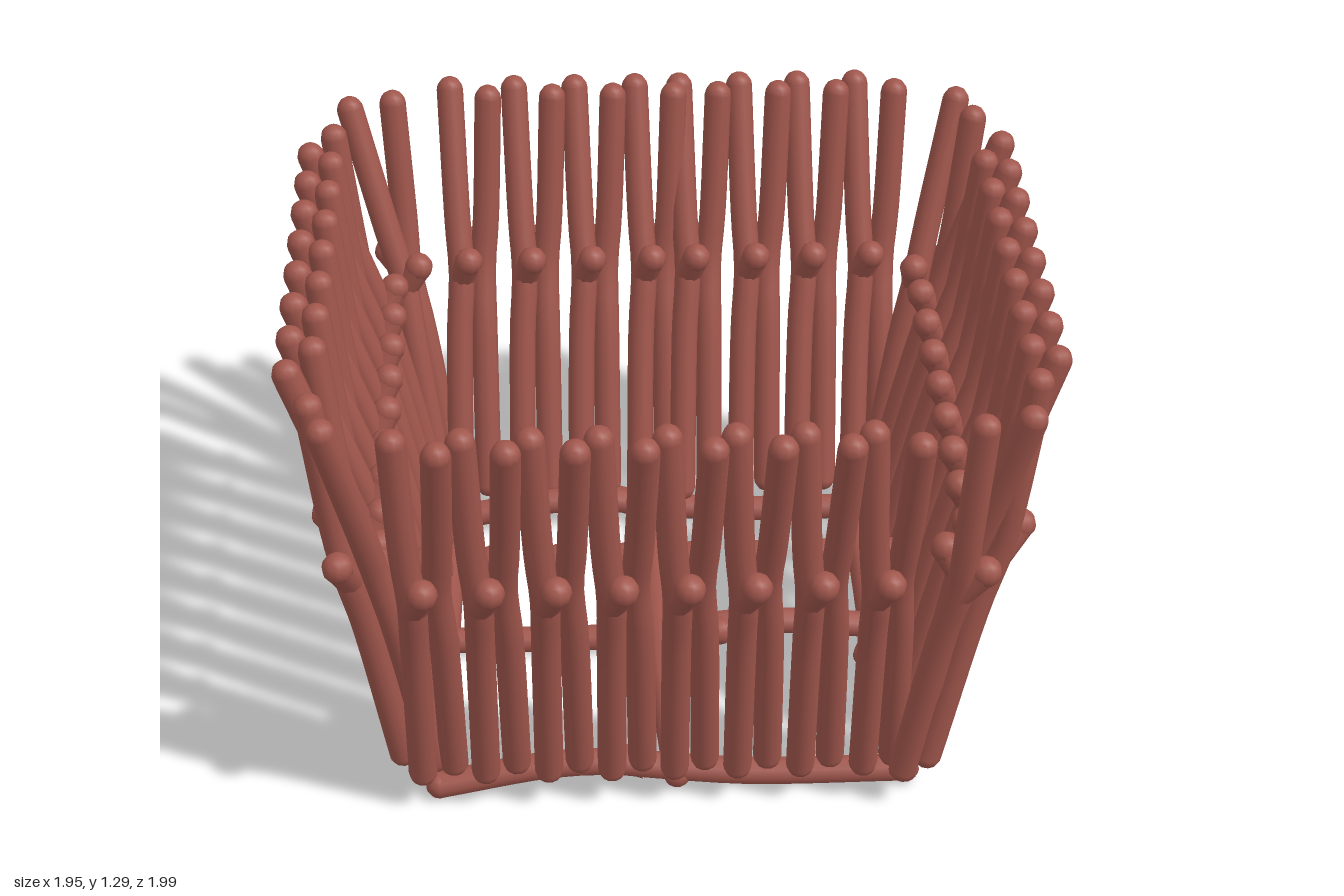
import * as THREE from 'three';
import { mergeGeometries } from 'three/addons/utils/BufferGeometryUtils.js';

const R = 0.037;
const bark = new THREE.MeshStandardMaterial({ color: 0xa0564c });
const vec = (p) => new THREE.Vector3(...p);

// Rounded ball used for stick ends and knots
function ball(p, r) {
  return new THREE.SphereGeometry(r, 10, 8).translate(...p);
}

// A crooked stick along the given points, with a short knotted stub from knot to tip
function stickGeometry(points, knot, tip) {
  const path = new THREE.CatmullRomCurve3(points.map(vec));
  const stub = new THREE.LineCurve3(vec(knot), vec(tip));
  return mergeGeometries([
    new THREE.TubeGeometry(path, 20, R, 10),
    ball(points[0], R),
    ball(points[points.length - 1], R),
    new THREE.TubeGeometry(stub, 1, 0.038, 10),
    ball(tip, 0.04),
  ]);
}

function addStick(parent, name, geometry) {
  const mesh = new THREE.Mesh(geometry, bark);
  mesh.name = name;
  parent.add(mesh);
  return mesh;
}

// Upright pair in wall coordinates: +z is outward
const outerStick = stickGeometry(
  [[-0.08, 0.115, 0.675], [-0.08, 0.6, 0.783], [-0.08, 0.76, 0.83],
    [-0.092, 0.9, 0.852], [-0.107, 1.26, 0.897]],
  [-0.078, 0.74, 0.825], [-0.052, 0.815, 0.882]);
const innerStick = stickGeometry(
  [[0, 0.115, 0.637], [-0.01, 0.6, 0.745], [-0.02, 0.76, 0.785],
    [-0.012, 0.9, 0.832], [0, 1.26, 0.955]],
  [-0.02, 0.75, 0.785], [-0.042, 0.82, 0.748]);

// Floor stick along z: flat for half its length, then an arch with a stub
const floorStick = stickGeometry(
  [[0, 0.04, -0.61], [0, 0.04, -0.2], [-0.003, 0.06, 0.02], [0, 0.08, 0.16],
    [0.008, 0.08, 0.32], [0.03, 0.04, 0.61]],
  [-0.003, 0.065, 0.07], [-0.028, 0.075, 0.15]);

function uprightPair(x, z) {
  const pair = new THREE.Group();
  pair.name = 'uprightPair';
  addStick(pair, 'outerUpright', outerStick);
  addStick(pair, 'innerUpright', innerStick);
  pair.position.set(x, 0, z);
  return pair;
}

// Pair positions along a wall; the back wall is spaced a little unevenly
const evenSpots = [-0.57, -0.407, -0.244, -0.081, 0.081, 0.244, 0.407, 0.57];
const backSpots = [-0.57, -0.407, -0.244, -0.075, 0.05, 0.22, 0.39, 0.57];
const walls = [
  ['front', evenSpots, 0], ['left', evenSpots, -0.015],
  ['back', backSpots, 0.005], ['right', evenSpots, -0.015],
];

// Floor sticks: name, x, z, turn about y
const floorSticks = [
  ['frontRail', 0, 0.605, -Math.PI / 2],
  ['backRail', 0, -0.64, -Math.PI / 2],
  ['leftRail', 0.577, 0, 0],
  ['rightRail', -0.6, 0, 0],
  ['sidewaysCrossStick', 0, -0.005, Math.PI / 2],
  ['lengthwiseCrossStick', -0.02, 0, 0],
];

export function createModel() {
  const model = new THREE.Group();
  model.name = 'stickBasket';

  // Four walls of leaning uprights, each followed by a diagonal corner pair
  walls.forEach(([side, spots, shift], i) => {
    const wall = new THREE.Group();
    wall.name = side + 'Wall';
    spots.forEach((x) => wall.add(uprightPair(x, shift)));
    wall.rotation.y = i * Math.PI / 2;
    model.add(wall);

    const corner = new THREE.Group();
    corner.name = side + 'Corner';
    corner.add(uprightPair(0, 0.24));
    corner.rotation.y = (i + 0.5) * Math.PI / 2;
    model.add(corner);
  });

  // Square floor frame with crossed sticks
  const frame = new THREE.Group();
  frame.name = 'floorFrame';
  for (const [name, x, z, turn] of floorSticks) {
    const stick = addStick(frame, name, floorStick);
    stick.position.set(x, 0, z);
    stick.rotation.y = turn;
  }
  model.add(frame);
  return model;
}
